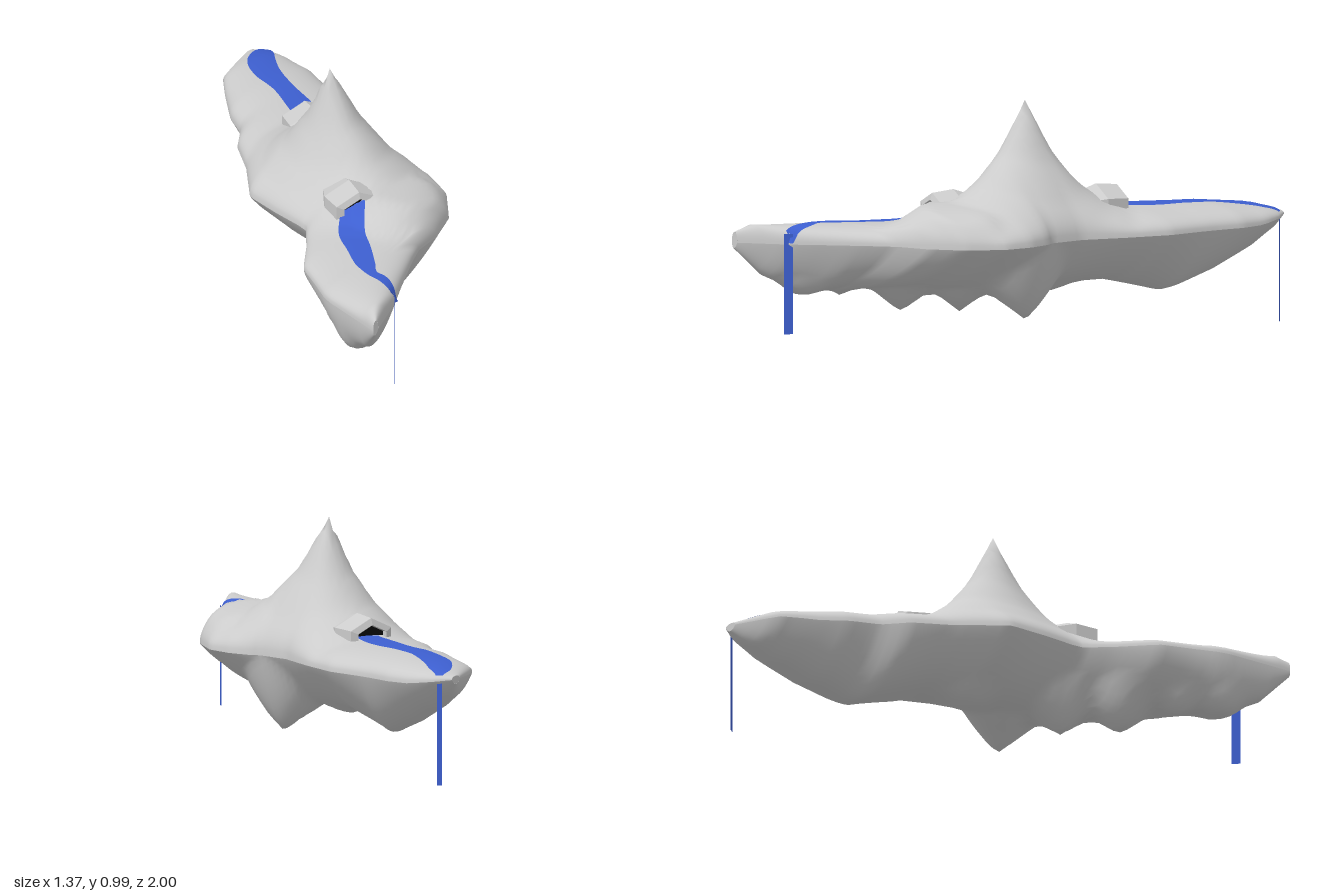
import * as THREE from 'three';

// Outline stations: z, left edge x, right edge x
const OUTLINE = [
  [-1, 0.57, 0.63], [-0.93, 0.37, 0.67], [-0.85, 0.3, 0.68], [-0.7, 0.18, 0.67], [-0.58, 0.12, 0.63],
  [-0.5, 0.02, 0.61], [-0.35, -0.08, 0.58], [-0.17, -0.24, 0.49], [0, -0.26, 0.39], [0.15, -0.27, 0.36],
  [0.2, -0.28, 0.375], [0.3, -0.38, 0.375], [0.42, -0.52, 0.34], [0.55, -0.58, 0.22], [0.63, -0.62, 0.06],
  [0.65, -0.63, -0.06], [0.7, -0.645, -0.15], [0.8, -0.66, -0.31], [0.9, -0.675, -0.46], [1, -0.69, -0.66],
];
// Rim, plateau and keel heights along z
const RIM = [[-1, 0.45], [-0.8, 0.425], [1, 0.415]];
const PLATEAU = [[-1, 0.465], [-0.9, 0.495], [-0.7, 0.515], [-0.3, 0.525], [0, 0.5], [0.3, 0.49], [0.95, 0.49], [1, 0.46]];
const KEEL = [[-1, 0.43], [-0.95, 0.37], [-0.85, 0.3], [-0.7, 0.22], [-0.53, 0.15], [-0.42, 0.18], [-0.3, 0.21],
  [0.05, 0.19], [0.5, 0.21], [0.65, 0.21], [0.75, 0.19], [0.9, 0.27], [1, 0.39]];
// Mountain height by distance from the peak
const SLOPE = [[0, 0.985], [0.1, 0.77], [0.2, 0.64], [0.3, 0.565], [0.45, 0.5], [2, 0.3]];
// Hanging rock spikes: x, z, tip y, radius
const SPIKES = [[-0.53, 0.75, 0.18, 0.1], [-0.44, 0.6, 0.17, 0.09], [-0.25, 0.43, 0.1, 0.14],
  [-0.08, 0.25, 0.1, 0.14], [0.19, 0.14, 0.075, 0.17], [0.08, -0.12, 0.16, 0.12]];

function lerpTable(table, v, col = 1) {
  let i = 0;
  while (i < table.length - 2 && v > table[i + 1][0]) i++;
  const a = table[i], b = table[i + 1];
  const k = THREE.MathUtils.clamp((v - a[0]) / (b[0] - a[0]), 0, 1);
  return a[col] + (b[col] - a[col]) * k;
}

// Position across the island: 0 at both edges, 1 along the middle (moved left by a skew below 1)
function middle(x, z, skew = 1) {
  const l = lerpTable(OUTLINE, z, 1), r = lerpTable(OUTLINE, z, 2);
  const u = Math.pow(THREE.MathUtils.clamp((x - l) / (r - l), 0, 1), skew);
  return 2 * Math.sqrt(u * (1 - u));
}

function topHeight(x, z) {
  const dx = x - 0.065, rim = lerpTable(RIM, z);
  const r = Math.hypot(dx * (dx > 0 ? 0.8 : 1.15), z * (z > 0 ? 0.76 : 1));
  const plateau = lerpTable(PLATEAU, z);
  const shoulder = Math.min(0.09, 0.2 * Math.max(0, 1 - Math.hypot((x - 0.07) / 0.3, (z - 0.42) / 0.26)));
  const h = Math.max(plateau + shoulder, lerpTable(SLOPE, r));
  return rim + (h - rim) * Math.pow(middle(x, z), 0.8);
}

function bottomHeight(x, z) {
  const rim = lerpTable(RIM, z);
  const m = middle(x, z, 1 - 0.35 * THREE.MathUtils.smoothstep(z, 0.1, 0.6));
  let y = rim - (rim - lerpTable(KEEL, z)) * Math.pow(m, 1.9);
  for (const [sx, sz, tip, rad] of SPIKES) {
    const d = Math.hypot(x - sx, z - sz) / rad;
    if (d < 1) y = Math.min(y, THREE.MathUtils.lerp(tip, y, d));
  }
  return y;
}

// Grid of rows along z whose points follow the outline
function islandSurface(heightAt, up) {
  const rows = 80, cols = 32, pos = [], idx = [];
  for (let i = 0; i <= rows; i++) {
    const z = -1 + (2 * i) / rows;
    const l = lerpTable(OUTLINE, z, 1), r = lerpTable(OUTLINE, z, 2);
    for (let j = 0; j <= cols; j++) {
      const x = l + (r - l) * (1 - Math.cos((Math.PI * j) / cols)) / 2;
      const edge = j === 0 || j === cols;
      pos.push(x, edge ? lerpTable(RIM, z) : heightAt(x, z), z);
      if (i < rows && j < cols) {
        const a = i * (cols + 1) + j, b = a + 1, c = a + cols + 1, d = c + 1;
        if (up) idx.push(a, c, b, b, c, d);
        else idx.push(a, b, c, b, d, c);
      }
    }
  }
  return makeGeometry(pos, idx);
}

// Small faces closing the two blunt ends between ground and underside
function endCap(z) {
  const n = 12, pos = [], idx = [];
  const l = lerpTable(OUTLINE, z, 1), r = lerpTable(OUTLINE, z, 2);
  for (let j = 0; j <= n; j++) {
    const x = l + (r - l) * (1 - Math.cos((Math.PI * j) / n)) / 2;
    pos.push(x, topHeight(x, z), z, x, bottomHeight(x, z), z);
    if (j < n) idx.push(2 * j, 2 * j + 1, 2 * j + 2, 2 * j + 2, 2 * j + 1, 2 * j + 3);
  }
  return makeGeometry(pos, idx);
}

function makeGeometry(pos, idx) {
  const g = new THREE.BufferGeometry();
  g.setAttribute('position', new THREE.Float32BufferAttribute(pos, 3));
  g.setIndex(idx);
  g.computeVertexNormals();
  return g;
}

// Ribbon of water lying on the ground along [x, z, width] points
function riverGeometry(points) {
  const curve = new THREE.CatmullRomCurve3(points.map(([x, z, w]) => new THREE.Vector3(x, w, z)));
  const n = 50, across = 4, pos = [], idx = [];
  for (let i = 0; i <= n; i++) {
    const p = curve.getPoint(i / n), t = curve.getTangent(i / n).setY(0).normalize();
    for (let j = 0; j <= across; j++) {
      const s = (j / across - 0.5) * p.y;
      const x = p.x - t.z * s, z = p.z + t.x * s;
      pos.push(x, topHeight(x, z) + 0.007, z);
      if (i < n && j < across) {
        const a = i * (across + 1) + j, c = a + across + 1;
        idx.push(a, a + 1, c, a + 1, c + 1, c);
      }
    }
  }
  return makeGeometry(pos, idx);
}

export function createModel() {
  const model = new THREE.Group();
  const rock = new THREE.MeshStandardMaterial({ color: 0xcccccc, side: THREE.DoubleSide });
  const boulder = new THREE.MeshStandardMaterial({ color: 0xcccccc, flatShading: true, side: THREE.DoubleSide });
  const water = new THREE.MeshStandardMaterial({ color: 0x3d5fd0, side: THREE.DoubleSide });
  const dark = new THREE.MeshStandardMaterial({ color: 0x0a0a0a, side: THREE.DoubleSide });
  const add = (name, geometry, material, parent = model) => {
    const mesh = new THREE.Mesh(geometry, material);
    mesh.name = name;
    parent.add(mesh);
    return mesh;
  };

  // Ground with the mountain, the rocky underside and the blunt ends
  add('groundAndMountain', islandSurface(topHeight, true), rock);
  add('rockyUnderside', islandSurface(bottomHeight, false), rock);
  add('frontEnd', endCap(1), rock);
  add('backEnd', endCap(-1), rock);

  // Cave: six-sided hollow rock opening toward the river
  const cave = (name, x, z, dirX, dirZ) => {
    const group = new THREE.Group();
    group.name = name;
    const profile = [[0, -0.23], [0.07, -0.21], [0.11, -0.1], [0.1, 0], [0.07, 0.01], [0.065, -0.06]]
      .map(([r, y]) => new THREE.Vector2(r, y));
    add(name + 'Rock', new THREE.LatheGeometry(profile, 6).rotateX(Math.PI / 2), boulder, group);
    add(name + 'Hollow', new THREE.CircleGeometry(0.072, 6, Math.PI / 6).translate(0, 0, -0.015), dark, group);
    group.scale.set(1.2, 0.95, 1);
    group.rotation.y = Math.atan2(dirX, dirZ);
    group.position.set(x, 0.515, z);
    model.add(group);
  };
  cave('frontCave', -0.13, 0.365, -0.35, 0.94);
  cave('backCave', 0.27, -0.35, 0.35, -0.94);

  // Rivers
  add('frontRiver', riverGeometry([[-0.14, 0.34, 0.1], [-0.25, 0.44, 0.11], [-0.32, 0.55, 0.1],
    [-0.4, 0.67, 0.08], [-0.44, 0.75, 0.045], [-0.44, 0.81, 0.05], [-0.46, 0.9, 0.035]]), water);
  add('backRiver', riverGeometry([[0.28, -0.34, 0.1], [0.34, -0.45, 0.11], [0.4, -0.6, 0.09],
    [0.45, -0.74, 0.11], [0.52, -0.85, 0.12], [0.6, -0.92, 0.09], [0.65, -0.95, 0.03]]), water);

  // Waterfalls: flat sheets turned across the ends of the rivers
  const waterfall = (name, width, top, bottom, x, z, turn) => {
    const sheet = add(name, new THREE.PlaneGeometry(width, top - bottom), water);
    sheet.position.set(x, (top + bottom) / 2, z);
    sheet.rotation.y = turn;
  };
  waterfall('frontWaterfall', 0.038, 0.46, 0.035, -0.46, 0.9, Math.PI / 4);
  waterfall('backWaterfall', 0.022, 0.45, 0, 0.65, -0.95, -Math.PI / 3);
  return model;
}
